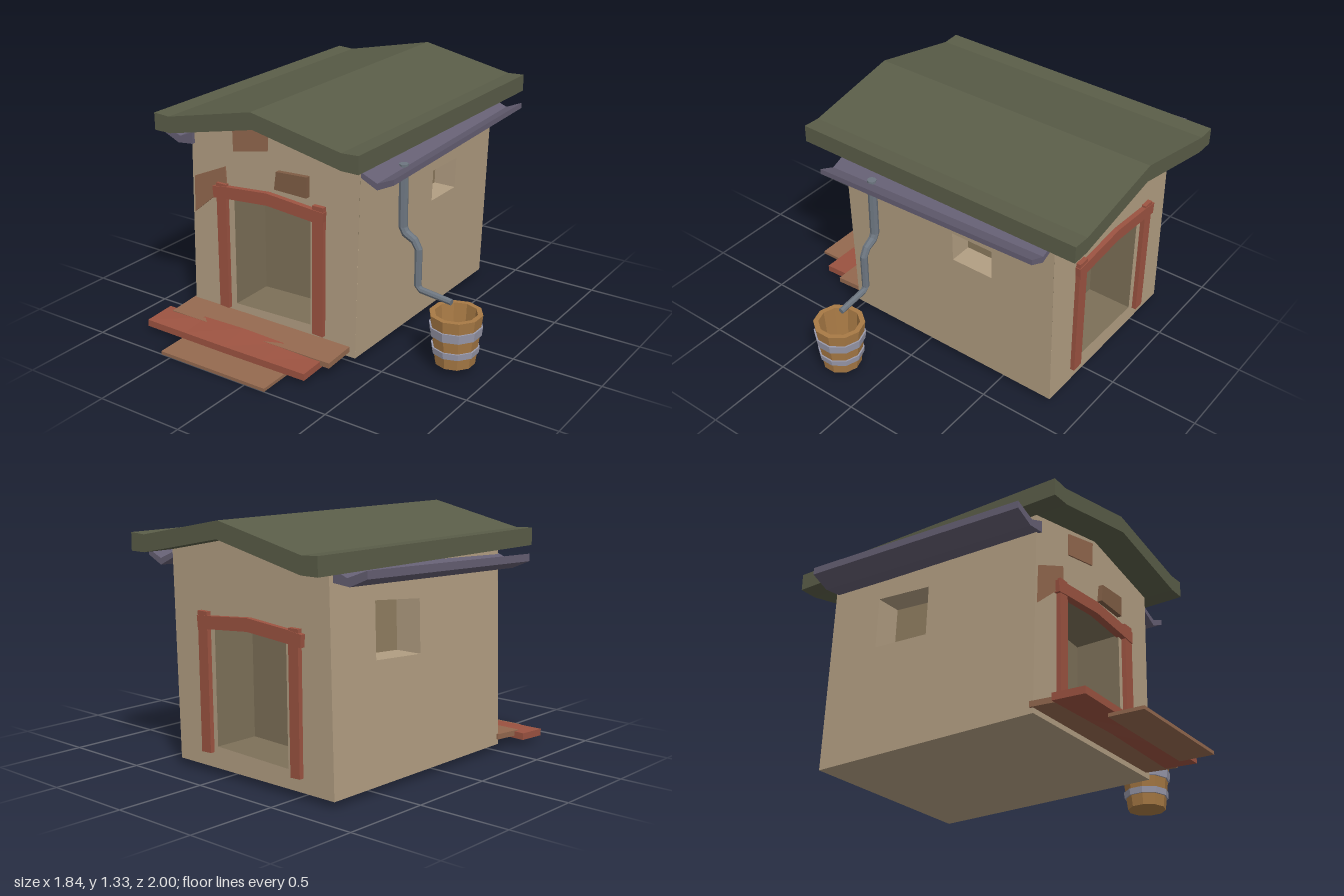
import * as THREE from 'three';

const mat = (color) => new THREE.MeshStandardMaterial({ color, flatShading: true, side: THREE.DoubleSide });
const M = {
  wall: mat(0xb29e82), recess: mat(0x7d7058), window: mat(0x8f7d60), roof: mat(0x5a5d48),
  gutter: mat(0x655f73), pipe: mat(0x6d7680), red: mat(0x9c5341), brown: mat(0x94694f),
  brick: mat(0x7f5d45), wood: mat(0xa87a45), band: mat(0x9a9aac),
};
const V2 = (pts) => pts.map(([x, y]) => new THREE.Vector2(x, y));

function add(parent, name, geometry, material) {
  const mesh = new THREE.Mesh(geometry, material);
  mesh.name = name;
  parent.add(mesh);
  return mesh;
}

// Straight prism of an outline, from z0 to z1
function prism(pts, z0, z1) {
  const g = new THREE.ExtrudeGeometry(new THREE.Shape(V2(pts)), { depth: z1 - z0, bevelEnabled: false });
  return g.translate(0, 0, z0);
}

// Move every vertex by a rule
function warp(g, rule) {
  const p = g.attributes.position, v = new THREE.Vector3();
  for (let i = 0; i < p.count; i++) {
    rule(v.fromBufferAttribute(p, i));
    p.setXYZ(i, v.x, v.y, v.z);
  }
  g.computeVertexNormals();
  return g;
}

// Wall with an opening that leads into a shallow recess; place(v) maps u, v, -depth to the model
function recessedWall(parent, name, outline, hole, depth, backMat, place) {
  const shape = new THREE.Shape(V2(outline));
  shape.holes.push(new THREE.Path(V2(hole)));
  add(parent, name, warp(new THREE.ShapeGeometry(shape), place), M.wall);
  const back = new THREE.ShapeGeometry(new THREE.Shape(V2(hole))).translate(0, 0, -depth);
  add(parent, name + 'RecessBack', warp(back, place), backMat);
  const pos = [];
  hole.forEach(([u, v], i) => {
    const [s, t] = hole[(i + 1) % hole.length];
    pos.push(u, v, 0, s, t, -depth, s, t, 0, u, v, 0, u, v, -depth, s, t, -depth);
  });
  const sides = new THREE.BufferGeometry();
  sides.setAttribute('position', new THREE.Float32BufferAttribute(pos, 3));
  add(parent, name + 'RecessSides', warp(sides, place), backMat === M.recess ? M.recess : M.wall);
}

// Round pipe along a path in the xy plane, each point [x, y, radius]
function pipe(path, z, sides = 8) {
  const pos = [], index = [];
  path.forEach(([x, y, r], i) => {
    const a = path[Math.max(i - 1, 0)], b = path[Math.min(i + 1, path.length - 1)];
    const len = Math.hypot(b[0] - a[0], b[1] - a[1]);
    const nx = -(b[1] - a[1]) / len, ny = (b[0] - a[0]) / len;
    for (let k = 0; k < sides; k++) {
      const t = (k / sides) * Math.PI * 2, c = Math.cos(t) * r;
      pos.push(x + nx * c, y + ny * c, z + Math.sin(t) * r);
      if (i) {
        const p = (i - 1) * sides + k, q = (i - 1) * sides + (k + 1) % sides;
        index.push(p, q, p + sides, q, q + sides, p + sides);
      }
    }
  });
  const last = (path.length - 1) * sides;
  for (let k = 1; k < sides - 1; k++) index.push(0, k + 1, k, last, last + k, last + k + 1);
  const g = new THREE.BufferGeometry();
  g.setAttribute('position', new THREE.Float32BufferAttribute(pos, 3));
  g.setIndex(index);
  g.computeVertexNormals();
  return g;
}

export function createModel() {
  const model = new THREE.Group();
  model.name = 'hut';
  const Z0 = -0.82, Z1 = 0.515, Y0 = 0.035;
  const lean = (y) => (y - Y0) * 0.032;
  const flip = (pts) => pts.map(([x, y]) => [-x, y]).reverse();

  // Walls: two gables with doorways, two sides with small windows
  const walls = new THREE.Group();
  walls.name = 'walls';
  model.add(walls);
  const gable = [[-0.74, Y0], [0.345, Y0], [0.38, 1.15], [-0.15, 1.26], [-0.705, 1.15]];
  const door = [[-0.44, 0.135], [0.06, 0.15], [0.07, 0.77], [-0.19, 0.79], [-0.43, 0.77]];
  recessedWall(walls, 'frontWall', gable, door, 0.26, M.recess, (v) => { v.z += Z1; });
  recessedWall(walls, 'backWall', flip(gable), flip(door), 0.26, M.recess,
    (v) => v.set(-v.x, v.y, Z0 - v.z));
  recessedWall(walls, 'rightWall', [[-Z1, Y0], [-Z0, Y0], [-Z0, 1.15], [-Z1, 1.15]],
    [[0.195, 0.69], [0.445, 0.69], [0.445, 0.865], [0.195, 0.865]], 0.13, M.window,
    (v) => v.set(0.345 + lean(v.y) + v.z, v.y, -v.x));
  recessedWall(walls, 'leftWall', [[Z0, Y0], [Z1, Y0], [Z1, 1.15], [Z0, 1.15]],
    [[-0.5, 0.66], [-0.16, 0.64], [-0.16, 0.92], [-0.5, 0.95]], 0.15, M.window,
    (v) => v.set(-0.74 + lean(v.y) - v.z, v.y, v.x));
  add(walls, 'floor', new THREE.PlaneGeometry(1.085, Z1 - Z0).rotateX(Math.PI / 2)
    .translate(-0.1975, Y0, (Z0 + Z1) / 2), M.wall);

  // Roof slab with flared eaves
  add(model, 'roof', prism([[-0.805, 1.12], [-0.7, 1.12], [-0.15, 1.24], [0.385, 1.135], [0.485, 1.135],
    [0.485, 1.23], [0.385, 1.225], [-0.16, 1.33], [-0.705, 1.21], [-0.805, 1.215]], -1, 0.69), M.roof);

  // Exposed patches and a loose brick on the front
  add(model, 'upperPatch', prism([[-0.42, 1.025], [-0.195, 1.07], [-0.185, 1.21], [-0.42, 1.15]], 0.5, 0.523), M.brown);
  add(model, 'sidePatch', prism([[-0.705, 0.625], [-0.52, 0.78], [-0.475, 0.82], [-0.48, 0.93], [-0.695, 0.835]],
    0.5, 0.523), M.brown);
  add(model, 'brick', prism([[-0.14, 0.88], [0.065, 0.875], [0.07, 0.99], [-0.125, 0.98]], 0.5, 0.542), M.brick);

  // Door frames, front and back
  for (const [side, z] of [['front', Z1 - 0.01], ['back', Z0 - 0.025]]) {
    const frame = new THREE.Group();
    frame.name = side + 'DoorFrame';
    frame.position.z = z;
    model.add(frame);
    add(frame, 'leftwardPost', prism([[0.088, 0.115], [0.155, 0.112], [0.168, 0.845], [0.1, 0.845]], 0, 0.035), M.red);
    add(frame, 'rightwardPost', prism([[-0.54, 0.108], [-0.478, 0.105], [-0.467, 0.835], [-0.532, 0.835]], 0, 0.035), M.red);
    add(frame, 'lintel', prism([[-0.55, 0.748], [-0.46, 0.758], [-0.19, 0.78], [0.09, 0.758], [0.165, 0.75],
      [0.172, 0.82], [0.09, 0.825], [-0.19, 0.848], [-0.46, 0.825], [-0.555, 0.812]], -0.003, 0.04), M.red);
  }

  // Sloping gutters under both eaves
  const slope = (drift) => (v) => { const t = 0.52 - v.z; v.y += t * 0.035; v.x -= t * drift; };
  add(model, 'rightGutter', warp(prism([[0.38, 1.045], [0.475, 1.0], [0.57, 1.045], [0.57, 1.075],
    [0.475, 1.035], [0.38, 1.075]], Z0, Z1), slope(0)), M.gutter);
  add(model, 'leftGutter', warp(prism([[-0.895, 1.055], [-0.79, 1.01], [-0.69, 1.02], [-0.69, 1.085],
    [-0.775, 1.05], [-0.895, 1.095]], -0.8, 0.535), slope(0.018)), M.gutter);

  // Bent downpipe
  add(model, 'downpipe', pipe([[0.465, 1.06, 0.025], [0.465, 0.72, 0.025], [0.482, 0.687, 0.024],
    [0.535, 0.658, 0.022], [0.56, 0.615, 0.021], [0.56, 0.412, 0.02], [0.58, 0.39, 0.018],
    [0.762, 0.37, 0.017]], 0.255), M.pipe);

  // Ten-sided bucket with two metal bands
  const bucket = new THREE.Group();
  bucket.name = 'bucket';
  bucket.position.set(0.788, 0, 0.25);
  model.add(bucket);
  add(bucket, 'staves', new THREE.LatheGeometry(V2([[0, 0.04], [0.107, 0.04], [0.14, 0.32], [0.112, 0.32],
    [0.09, 0.08], [0, 0.08]]), 10), M.wood);
  for (const [low, high] of [[0.205, 0.255], [0.105, 0.14]]) {
    const r = (y) => 0.107 + (y - 0.04) * 0.118;
    add(bucket, 'band', new THREE.LatheGeometry(V2([[r(low), low], [r(low) + 0.009, low],
      [r(high) + 0.009, high], [r(high), high]]), 10), M.band);
  }

  // Warped porch planks
  const plank = (name, x0, x1, y, h, z0, z1, material, rule) => {
    const g = new THREE.BoxGeometry(x1 - x0, h, z1 - z0, 4, 1, 1);
    g.translate((x0 + x1) / 2, y + h / 2, (z0 + z1) / 2);
    add(model, name, warp(g, rule), material);
  };
  plank('upperPlank', -0.75, 0.31, 0.05, 0.03, 0.5, 0.7, M.brown, (v) => { v.y += (0.7 - v.z) * 0.07; });
  plank('middlePlank', -0.805, 0.255, 0.027, 0.038, 0.66, 0.84, M.red,
    (v) => { v.y += (0.84 - v.z) * 0.1 + 0.014 * Math.cos((v.x + 0.275) * 5.9) * (v.z > 0.75 ? -0.1 : 0.5); });
  plank('lowerPlank', -0.565, 0.125, 0, 0.018, 0.81, 1, M.brown, (v) => { v.y += (1 - v.z) * 0.03; });

  return model;
}
